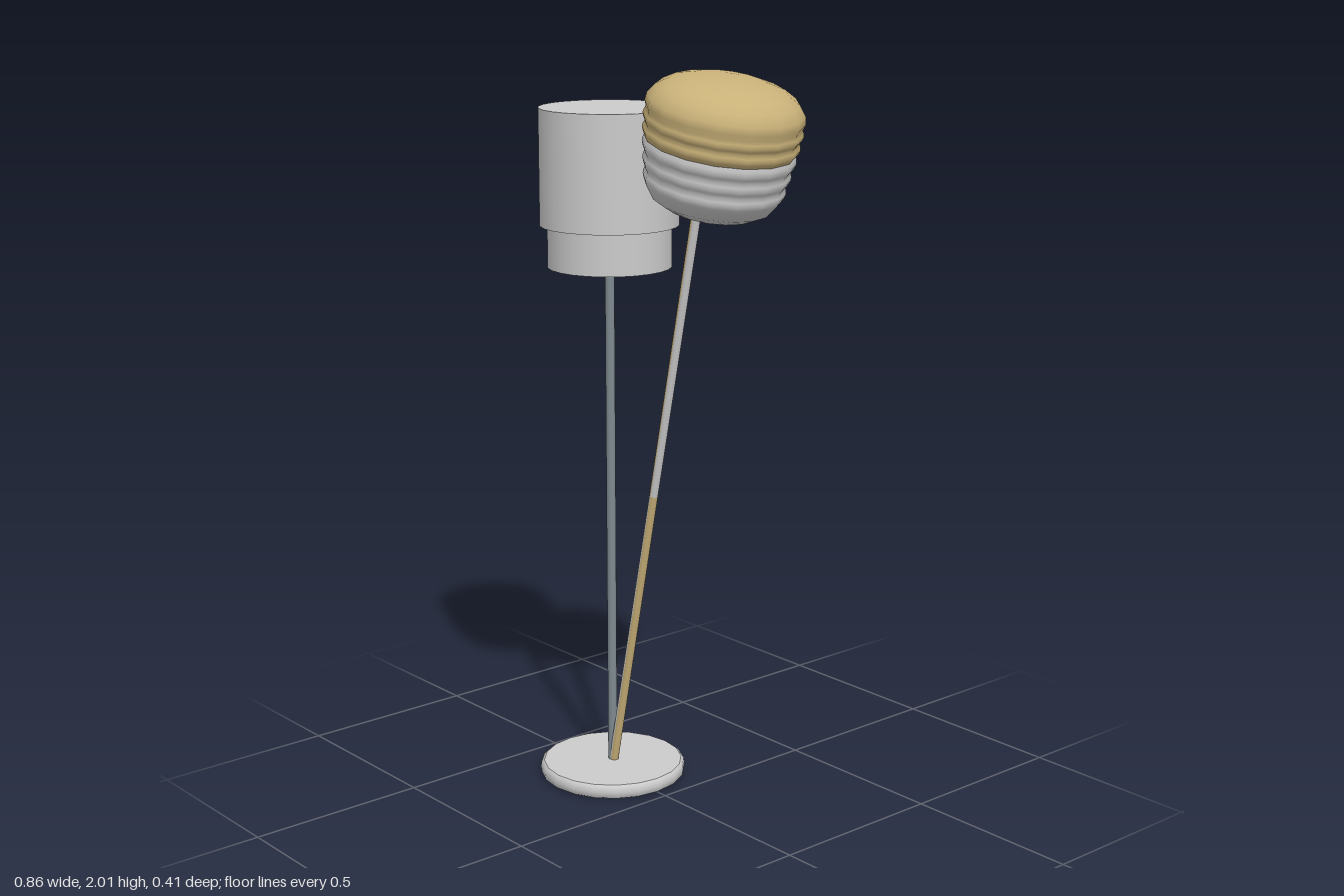
import * as THREE from 'three';

const WHITE = new THREE.MeshStandardMaterial({ color: 0xcccccc });
const CREAM = new THREE.MeshStandardMaterial({ color: 0xc8b078 });
const SLATE = new THREE.MeshStandardMaterial({ color: 0x7f8a90 });

function add(parent, name, geometry, material, x = 0, y = 0) {
  const mesh = new THREE.Mesh(geometry, material);
  mesh.name = name;
  mesh.position.set(x, y, 0);
  parent.add(mesh);
  return mesh;
}

function lathe(points, sides) {
  return new THREE.LatheGeometry(points.map(([r, y]) => new THREE.Vector2(r, y)), sides);
}

// Upright cylinder placed by its bottom end
function drum(radius, height, sides) {
  return new THREE.CylinderGeometry(radius, radius, height, sides).translate(0, height / 2, 0);
}

// Bulging rings stacked between two heights, widening from r0 to r1
function ringProfile(y0, y1, r0, r1, count) {
  const points = [];
  const steps = count * 4;
  for (let i = 0; i <= steps; i++) {
    const t = i / steps;
    const bulge = 0.007 * Math.abs(Math.sin(t * count * Math.PI));
    points.push([r0 + (r1 - r0) * t + bulge, y0 + (y1 - y0) * t]);
  }
  return points;
}

export function createModel() {
  const lamp = new THREE.Group();
  lamp.name = 'floorLamp';
  const axisX = -0.23;

  // Round foot with a softened rim
  add(lamp, 'base', lathe([
    [0, 0], [0.195, 0], [0.195, 0], [0.203, 0.006], [0.205, 0.02],
    [0.203, 0.034], [0.195, 0.04], [0.195, 0.04], [0, 0.04],
  ], 20), WHITE, axisX);

  // Upright pole and its two-step drum shade
  add(lamp, 'uprightPole', drum(0.013, 1.45, 12), SLATE, axisX, 0.03);
  add(lamp, 'lowerShade', drum(0.168, 0.13, 24), WHITE, axisX, 1.46);
  add(lamp, 'upperShade', drum(0.188, 0.312, 24), WHITE, axisX, 1.573);

  // Leaning arm
  const arm = new THREE.Group();
  arm.name = 'leaningArm';
  arm.position.set(-0.225, 0.04, 0);
  arm.rotation.z = -0.213;
  lamp.add(arm);

  // Two rods cross at a slight angle, so the colours swap sides along the arm
  const rod = new THREE.CylinderGeometry(0.012, 0.012, 1.67, 12);
  add(arm, 'creamRod', rod, CREAM, 0, 0.835).rotation.z = 0.002;
  add(arm, 'greyRod', rod, WHITE, 0, 0.835).rotation.z = -0.002;

  // Ribbed head, set off-centre on the arm
  const head = new THREE.Group();
  head.name = 'head';
  head.position.set(0.048, 1.652, 0);
  arm.add(head);
  add(head, 'headLower', lathe([
    [0, 0], [0.07, 0.004], [0.12, 0.016], [0.155, 0.036],
    ...ringProfile(0.062, 0.185, 0.172, 0.192, 3),
  ], 16), WHITE);
  add(head, 'headCap', lathe([
    ...ringProfile(0.185, 0.255, 0.192, 0.198, 2),
    [0.203, 0.27], [0.2, 0.29], [0.182, 0.315], [0.15, 0.335],
    [0.1, 0.35], [0.05, 0.357], [0, 0.359],
  ], 16), CREAM);

  return lamp;
}
